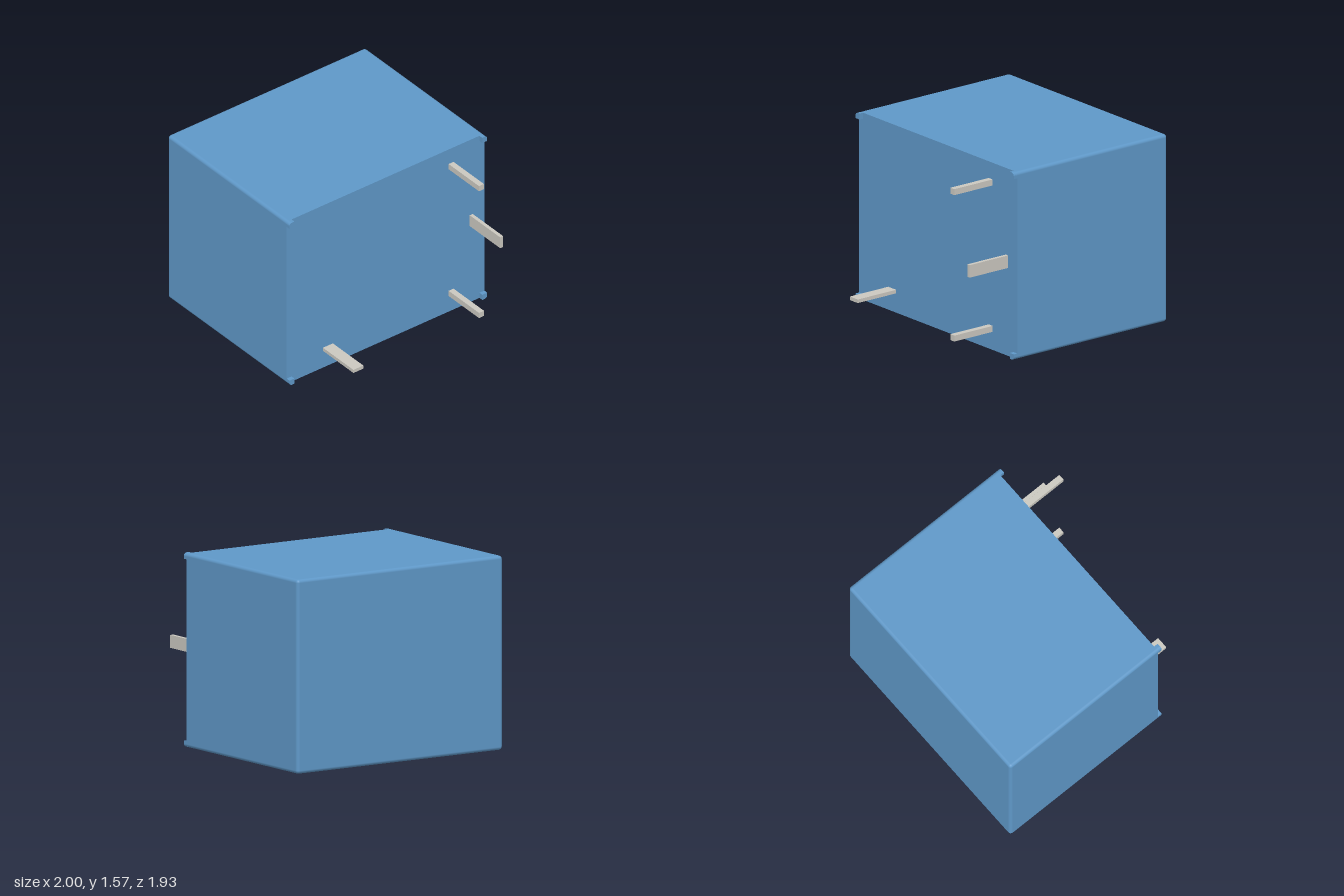
import * as THREE from 'three';
import { mergeGeometries } from 'three/addons/utils/BufferGeometryUtils.js';

const W = 2, H = 1.57, BACK = -0.967, FRONT = 0.573, R = 0.027, SEG = 6;
const FOOT = 0.05, FOOT_END = 0.61, PIN_END = 0.967;

// Shell with rounded back and long edges and a sharp, flat front
function shellGeometry() {
  const pos = [], nor = [], idx = [], cols = 4 * (SEG + 1) + 1;
  const hx = W / 2 - R, hy = H / 2 - R;
  for (let j = 0; j <= SEG + 1; j++) {
    const a = (Math.min(j, SEG) / SEG) * Math.PI / 2;
    const z = j > SEG ? FRONT : BACK + R * (1 - Math.cos(a));
    for (let i = 0; i < cols; i++) {
      const k = i % (cols - 1), corner = Math.floor(k / (SEG + 1));
      const t = (corner + (k % (SEG + 1)) / SEG) * Math.PI / 2;
      const sx = corner === 0 || corner === 3 ? 1 : -1, sy = corner < 2 ? 1 : -1;
      const nx = Math.cos(t) * Math.sin(a), ny = Math.sin(t) * Math.sin(a);
      pos.push(sx * hx + R * nx, sy * hy + R * ny, z);
      nor.push(nx, ny, -Math.cos(a));
      if (j <= SEG && i < cols - 1) {
        const p = j * cols + i, q = p + cols;
        idx.push(p, p + 1, q + 1, p, q + 1, q);
      }
    }
  }
  const sides = new THREE.BufferGeometry();
  sides.setAttribute('position', new THREE.Float32BufferAttribute(pos, 3));
  sides.setAttribute('normal', new THREE.Float32BufferAttribute(nor, 3));
  sides.setIndex(idx);

  // Flat caps
  const back = new THREE.PlaneGeometry(2 * hx, 2 * hy).rotateY(Math.PI).translate(0, 0, BACK);
  const outline = new THREE.Shape();
  outline.absarc(hx, hy, R, 0, Math.PI / 2);
  outline.absarc(-hx, hy, R, Math.PI / 2, Math.PI);
  outline.absarc(-hx, -hy, R, Math.PI, Math.PI * 1.5);
  outline.absarc(hx, -hy, R, Math.PI * 1.5, Math.PI * 2);
  const front = new THREE.ShapeGeometry(outline, SEG).translate(0, 0, FRONT);
  back.deleteAttribute('uv');
  front.deleteAttribute('uv');
  return mergeGeometries([sides, back, front]);
}

// Corner stand-off, rounded at its outer corner
function footGeometry() {
  const s = new THREE.Shape();
  s.moveTo(-FOOT, -FOOT);
  s.lineTo(0, -FOOT);
  s.lineTo(0, -R);
  s.absarc(-R, -R, R, 0, Math.PI / 2);
  s.lineTo(-FOOT, 0);
  s.closePath();
  return new THREE.ExtrudeGeometry(s, { depth: FOOT_END - FRONT, bevelEnabled: false, curveSegments: SEG });
}

export function createModel() {
  const model = new THREE.Group();
  model.name = 'relay';
  const blue = new THREE.MeshStandardMaterial({ color: 0x5f98c8 });
  const metal = new THREE.MeshStandardMaterial({ color: 0xcbc8c0 });
  const add = (name, geometry, material, x, y, z) => {
    const mesh = new THREE.Mesh(geometry, material);
    mesh.name = name;
    mesh.position.set(x, y, z);
    model.add(mesh);
    return mesh;
  };

  add('case', shellGeometry(), blue, 0, H / 2, 0);

  // Feet at the four front corners, turned to face outward
  const foot = footGeometry();
  [[1, 1], [-1, 1], [-1, -1], [1, -1]].forEach(([sx, sy], i) => {
    add('foot', foot, blue, sx * W / 2, H / 2 + sy * H / 2, FRONT).rotation.z = i * Math.PI / 2;
  });

  // Terminal pins: x, y, width, height
  const pins = [
    ['upperCoilPin', 0.663, 1.405, 0.05, 0.05],
    ['lowerCoilPin', 0.663, 0.177, 0.05, 0.05],
    ['commonPin', 0.867, 0.79, 0.03, 0.105],
    ['contactPin', -0.582, 0.177, 0.1, 0.03],
  ];
  for (const [name, x, y, w, h] of pins) {
    add(name, new THREE.BoxGeometry(w, h, PIN_END - FRONT), metal, x, y, (PIN_END + FRONT) / 2);
  }
  return model;
}
